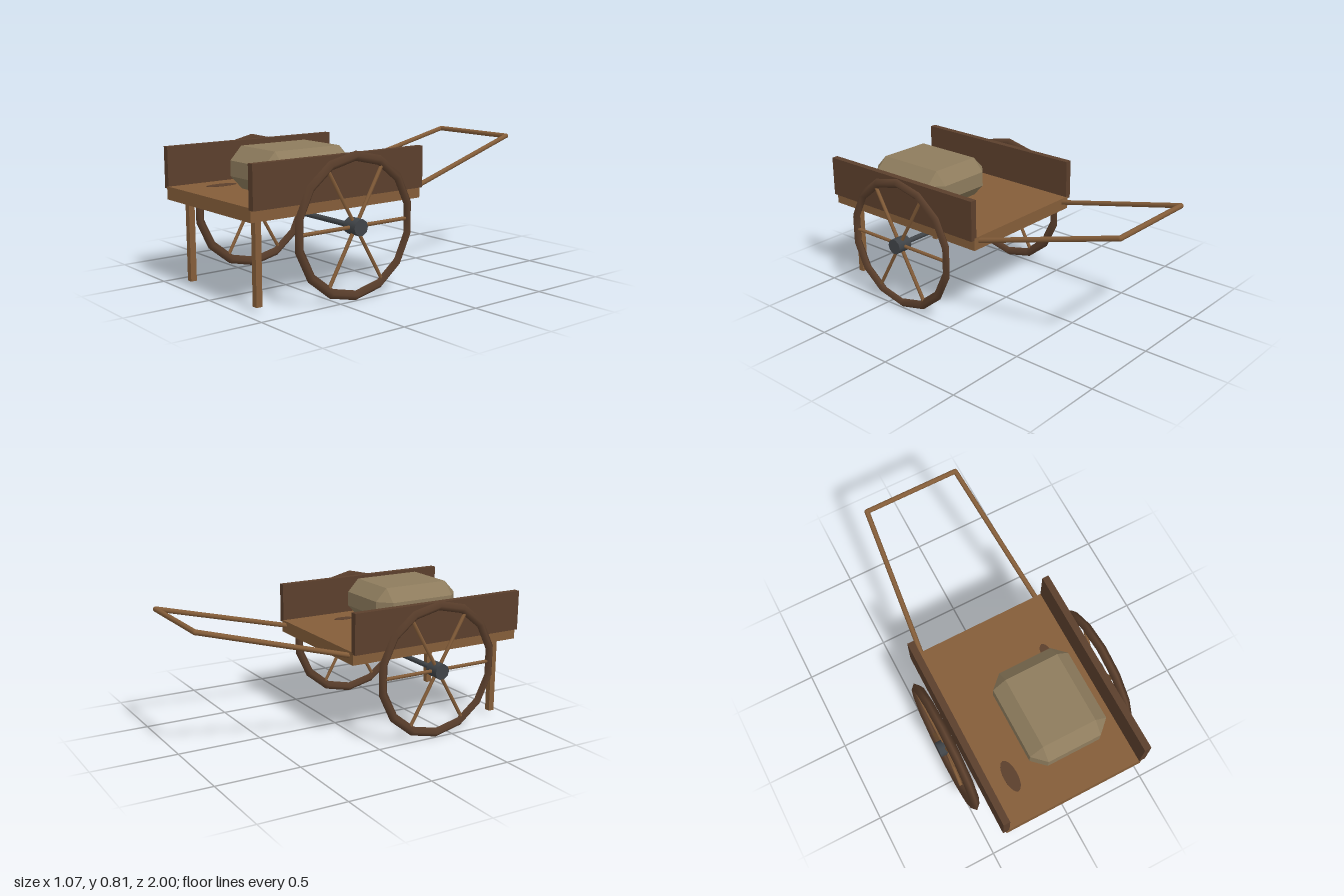
import * as THREE from 'three';
import { ConvexGeometry } from 'three/addons/geometries/ConvexGeometry.js';

const material = (name, color) => {
  const m = new THREE.MeshStandardMaterial({ color });
  m.name = name;
  return m;
};

export function createModel() {
  const wood = material('wood', 0x845d39);
  const darkWood = material('dark wood', 0x5b3f2c);
  const iron = material('iron', 0x404448);
  const stone = material('stone', 0x8e7c5d);

  const cart = new THREE.Group();
  cart.name = 'handcart';

  const add = (parent, name, geometry, mat, x = 0, y = 0, z = 0) => {
    const mesh = new THREE.Mesh(geometry, mat);
    mesh.name = name;
    mesh.position.set(x, y, z);
    parent.add(mesh);
    return mesh;
  };
  // Round bar between two points
  const bar = (parent, name, a, b, radius, sides, mat) => {
    const dir = b.clone().sub(a);
    const mesh = add(parent, name, new THREE.CylinderGeometry(radius, radius, dir.length(), sides), mat);
    mesh.position.copy(a).add(b).multiplyScalar(0.5);
    mesh.quaternion.setFromUnitVectors(new THREE.Vector3(0, 1, 0), dir.normalize());
    return mesh;
  };
  const V = (x, y, z) => new THREE.Vector3(x, y, z);

  // Bed
  add(cart, 'bed', new THREE.BoxGeometry(0.842, 0.074, 1.13), wood, 0, 0.531, 0.435);

  // Knots showing on both faces of the bed
  for (const [x, z, rx, rz] of [[-0.262, 0.745, 0.04, 0.095], [0.258, 0.21, 0.03, 0.062]]) {
    const knot = add(cart, 'knot', new THREE.CylinderGeometry(1, 1, 0.078, 16), darkWood, x, 0.531, z);
    knot.scale.set(rx, 1, rz);
  }

  // Axle
  bar(cart, 'axle', V(-0.5, 0.408, 0.39), V(0.5, 0.408, 0.39), 0.015, 10, iron);

  for (const s of [1, -1]) {
    // Side boards, legs and handle shafts
    add(cart, 'sideBoard', new THREE.BoxGeometry(0.039, 0.235, 1.13), darkWood, s * 0.424, 0.673, 0.435);
    add(cart, 'leg', new THREE.BoxGeometry(0.037, 0.47, 0.036), wood, s * 0.331, 0.265, 0.91);
    bar(cart, 'handleShaft', V(s * 0.378, 0.535, -0.1), V(s * 0.288, 0.768, -0.985), 0.015, 8, wood);
    add(cart, 'handleJoint', new THREE.SphereGeometry(0.015, 8, 6), wood, s * 0.288, 0.767, -0.985);

    // Wheel: diamond-section rim, hub and six spokes
    const wheel = new THREE.Group();
    wheel.name = 'wheel';
    wheel.position.set(s * 0.49, 0.408, 0.39);
    const rim = new THREE.TorusGeometry(0.376, 0.027, 4, 14).rotateZ(Math.PI / 2).rotateY(Math.PI / 2);
    add(wheel, 'rim', rim, darkWood);
    bar(wheel, 'hub', V(-0.047, 0, 0), V(0.047, 0, 0), 0.046, 10, iron);
    for (let i = 0; i < 6; i++) {
      const a = (i * Math.PI) / 3;
      bar(wheel, 'spoke', V(0, 0, 0), V(0, Math.sin(a) * 0.37, Math.cos(a) * 0.37), 0.011, 6, wood);
    }
    cart.add(wheel);
  }

  // Handle grip
  bar(cart, 'handleGrip', V(-0.288, 0.767, -0.985), V(0.288, 0.767, -0.985), 0.015, 8, wood);

  // Bevelled boulder: hull of three crossed boxes
  const outer = [0.235, 0.118, 0.282];
  const inner = [0.16, 0.043, 0.211];
  const points = [];
  for (let axis = 0; axis < 3; axis++) {
    for (let corner = 0; corner < 8; corner++) {
      points.push(V(...[0, 1, 2].map((k) =>
        (corner & (1 << k) ? 1 : -1) * (k === axis ? outer[k] : inner[k]))));
    }
  }
  add(cart, 'boulder', new ConvexGeometry(points), stone, 0.093, 0.692, 0.523);

  return cart;
}
